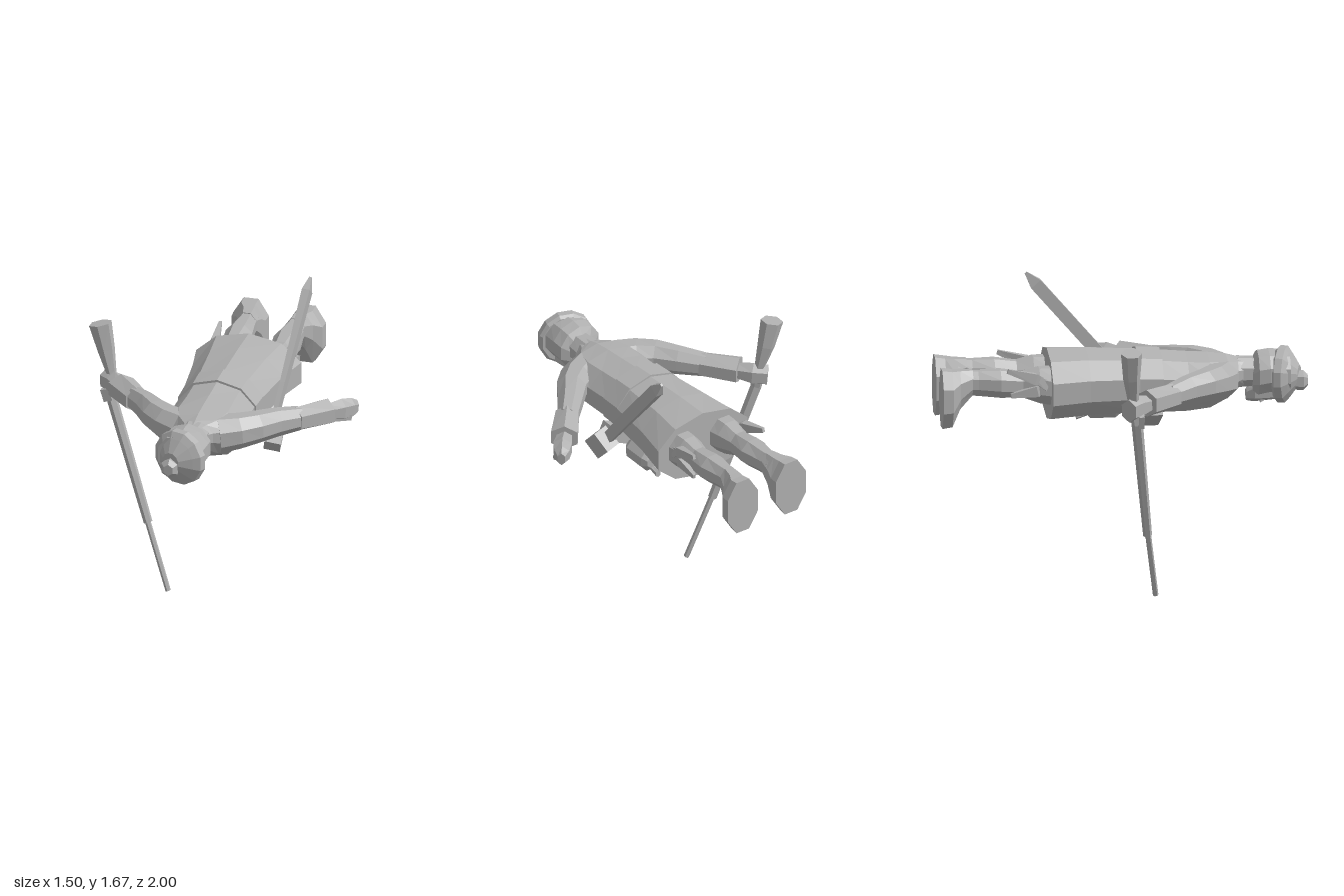
import * as THREE from 'three';

const CX = 0.035; // body midline
const grey = new THREE.MeshStandardMaterial({ color: 0xb0b0b0, flatShading: true, side: THREE.DoubleSide });
grey.name = 'plain grey';

// Capped loft through sections [x, y, z, halfWidth, halfHeight]; halfHeight lies along ref
function loft(secs, n, ref, fixed) {
  const c = secs.map(s => new THREE.Vector3(s[0], s[1], s[2]));
  const k = 1 / Math.cos(Math.PI / n);
  const rings = secs.map((s, i) => {
    const t = fixed ? fixed.clone() : c[Math.min(i + 1, c.length - 1)].clone().sub(c[Math.max(i - 1, 0)]);
    t.normalize();
    const v = ref.clone().addScaledVector(t, -ref.dot(t)).normalize();
    const u = v.clone().cross(t);
    return Array.from({ length: n }, (_, j) => {
      const a = (j + 0.5) * 2 * Math.PI / n;
      return c[i].clone().addScaledVector(u, Math.cos(a) * s[3] * k).addScaledVector(v, Math.sin(a) * s[4] * k);
    });
  });
  const pos = [];
  const tri = (...p) => p.forEach(q => pos.push(q.x, q.y, q.z));
  const last = rings.length - 1;
  for (let j = 0; j < n; j++) {
    const m = (j + 1) % n;
    for (let i = 0; i < last; i++) {
      const A = rings[i], B = rings[i + 1];
      tri(A[j], A[m], B[m]);
      tri(A[j], B[m], B[j]);
    }
    tri(c[0], rings[0][m], rings[0][j]);
    tri(c[last], rings[last][j], rings[last][m]);
  }
  const g = new THREE.BufferGeometry();
  g.setAttribute('position', new THREE.Float32BufferAttribute(pos, 3));
  g.computeVertexNormals();
  return g;
}

export function createModel() {
  const root = new THREE.Group();
  root.name = 'proneSoldier';
  const X = new THREE.Vector3(1, 0, 0), Y = new THREE.Vector3(0, 1, 0), Z = new THREE.Vector3(0, 0, 1);
  const add = (name, geo) => {
    const m = new THREE.Mesh(geo, grey);
    m.name = name;
    root.add(m);
    return m;
  };
  // Sections along z: [z, centreY, halfWidth, halfHeight]
  const alongZ = (name, x, rows, n) =>
    add(name, loft(rows.map(([z, y, w, h]) => [x, y, z, w, h]), n, Y, Z));
  const box = (name, size, at, rot = [0, 0, 0]) => {
    const m = add(name, new THREE.BoxGeometry(...size));
    m.position.set(...at);
    m.rotation.set(...rot);
    return m;
  };

  // Torso, coat skirt and belt
  alongZ('coatSkirt', CX, [
    [-0.41, 1.125, 0.295, 0.185], [-0.2, 1.13, 0.255, 0.178], [0.09, 1.125, 0.22, 0.168]], 10);
  alongZ('torso', CX, [
    [0.08, 1.125, 0.21, 0.165], [0.2, 1.12, 0.21, 0.165], [0.34, 1.115, 0.212, 0.158],
    [0.46, 1.12, 0.22, 0.145], [0.56, 1.14, 0.18, 0.115], [0.62, 1.155, 0.1, 0.085], [0.66, 1.16, 0.075, 0.075]], 10);
  alongZ('belt', CX, [[0.07, 1.125, 0.222, 0.18], [0.2, 1.122, 0.218, 0.175]], 10);

  // Neck, head and face
  alongZ('neck', CX, [[0.62, 1.16, 0.085, 0.08], [0.74, 1.16, 0.075, 0.075]], 8);
  alongZ('head', 0.03, [
    [0.7, 1.13, 0.08, 0.09], [0.73, 1.15, 0.125, 0.12], [0.79, 1.16, 0.13, 0.118], [0.9, 1.15, 0.12, 0.12]], 10);
  alongZ('jaw', 0.03, [
    [0.67, 1.035, 0.03, 0.03], [0.71, 1.05, 0.065, 0.05], [0.84, 1.06, 0.085, 0.05]], 6);
  alongZ('nose', 0.03, [[0.745, 1.02, 0.022, 0.03], [0.8, 1.03, 0.01, 0.015]], 4);

  // Round hat, tipped to one side
  const tilt = new THREE.Vector3(-0.33, 0, 0.94).normalize();
  const hat = [[-0.035, 0.135], [-0.02, 0.15], [0.02, 0.148], [0.045, 0.115], [0.09, 0.05]];
  add('hat', loft(hat.map(([d, r]) => [0.025 + tilt.x * d, 1.14, 0.87 + tilt.z * d, r, r]), 12, Y, tilt));
  alongZ('hatKnob', -0.005, [[0.93, 1.11, 0.04, 0.045], [0.975, 1.11, 0.045, 0.048], [1.0, 1.11, 0.025, 0.028]], 6);

  for (const s of [1, -1]) {
    const side = s > 0 ? 'left' : 'right';
    const limb = (name, rows, n) =>
      add(side + name, loft(rows.map(([x, y, z, w, h]) => [CX + s * x, y, z, w, h]), n, Y));

    // Arm, cuff and hand
    limb('Arm', [
      [0.1, 1.14, 0.52, 0.1, 0.1], [0.2, 1.15, 0.475, 0.09, 0.09], [0.28, 1.155, 0.41, 0.08, 0.082],
      [0.36, 1.15, 0.31, 0.066, 0.075], [0.46, 1.14, 0.2, 0.055, 0.062]], 8);
    limb('Cuff', [[0.445, 1.14, 0.22, 0.062, 0.06], [0.58, 1.135, 0.06, 0.072, 0.064]], 6);
    const hand = s > 0
      ? [[0.57, 1.13, 0.07, 0.04, 0.04], [0.635, 1.125, -0.0, 0.05, 0.055], [0.675, 1.12, -0.05, 0.04, 0.05], [0.7, 1.115, -0.08, 0.02, 0.035]]
      : [[0.57, 1.13, 0.07, 0.04, 0.04], [0.63, 1.125, 0.0, 0.05, 0.058], [0.69, 1.12, -0.05, 0.045, 0.055]];
    limb('Hand', hand, 6);
    if (s > 0) limb('Thumb', [[0.61, 1.1, 0.05, 0.018, 0.02], [0.69, 1.085, -0.01, 0.012, 0.015]], 4);

    // Leg and boot, toes pointing down
    alongZ(side + 'Leg', CX + s * 0.135, [
      [-0.88, 1.175, 0.05, 0.065], [-0.8, 1.17, 0.055, 0.068], [-0.68, 1.165, 0.075, 0.075],
      [-0.56, 1.155, 0.06, 0.068], [-0.47, 1.15, 0.08, 0.095], [-0.36, 1.14, 0.095, 0.105]], 8);
    add(side + 'Boot', loft([
      [CX + s * 0.16, 1.095, -1.0, 0.1, 0.16], [CX + s * 0.16, 1.095, -0.945, 0.095, 0.152],
      [CX + s * 0.145, 1.14, -0.9, 0.07, 0.105], [CX + s * 0.135, 1.175, -0.83, 0.052, 0.068]], 8, Y, Z));

    // Knee bow: loops and loose ends
    [[0.2, 1.16, -0.45, 0.05], [0.2, 1.13, -0.56, -0.02], [0.215, 1.2, -0.58, 0.05]].forEach(([x, y, z, dy], i) => {
      limb('BowEnd' + i, [
        [0.17, 1.16, -0.42, 0.008, 0.012], [x, y, (z - 0.42) / 2, 0.022, 0.03], [x + 0.015, y + dy, z - 0.07, 0.008, 0.012]], 4);
    });

    // Slanted cartridge pouch under the belt
    box(side + 'Pouch', [0.25, 0.065, 0.14], [CX + s * 0.13, 0.965, 0.12], [0, 0, s * 0.45]);
  }

  // Bottle hung under the coat
  alongZ('bottle', 0.2, [
    [-0.185, 0.955, 0.04, 0.035], [-0.155, 0.955, 0.06, 0.065], [-0.02, 0.955, 0.06, 0.065], [0.015, 0.955, 0.04, 0.04]], 8);
  alongZ('bottleNeck', 0.2, [[-0.23, 0.9, 0.015, 0.018], [-0.17, 0.915, 0.015, 0.014]], 6);

  // Long blade with its square guard
  add('blade', loft([
    [0.31, 1.0, 0.09, 0.03, 0.012], [0.326, 1.2, -0.08, 0.034, 0.014],
    [0.355, 1.6, -0.43, 0.034, 0.022], [0.36, 1.66, -0.482, 0.008, 0.006]], 4, X));
  box('bladeGuard', [0.09, 0.12, 0.125], [0.33, 0.975, 0.11], [Math.PI / 4, 0, -0.25]);

  // Musket held muzzle down
  add('musketStock', loft([
    [-0.69, 1.447, -0.04, 0.056, 0.05], [-0.655, 1.3, -0.035, 0.042, 0.04], [-0.622, 1.17, -0.022, 0.024, 0.026],
    [-0.615, 1.04, 0.0, 0.026, 0.027], [-0.385, 0.367, 0.085, 0.021, 0.021]], 6, Z));
  add('musketBarrel', loft([
    [-0.4, 0.41, 0.082, 0.014, 0.014], [-0.255, 0.005, 0.145, 0.013, 0.013]], 6, Z));
  box('musketLock', [0.05, 0.07, 0.03], [-0.635, 1.06, 0.02], [0, 0, 0.3]);

  return root;
}
